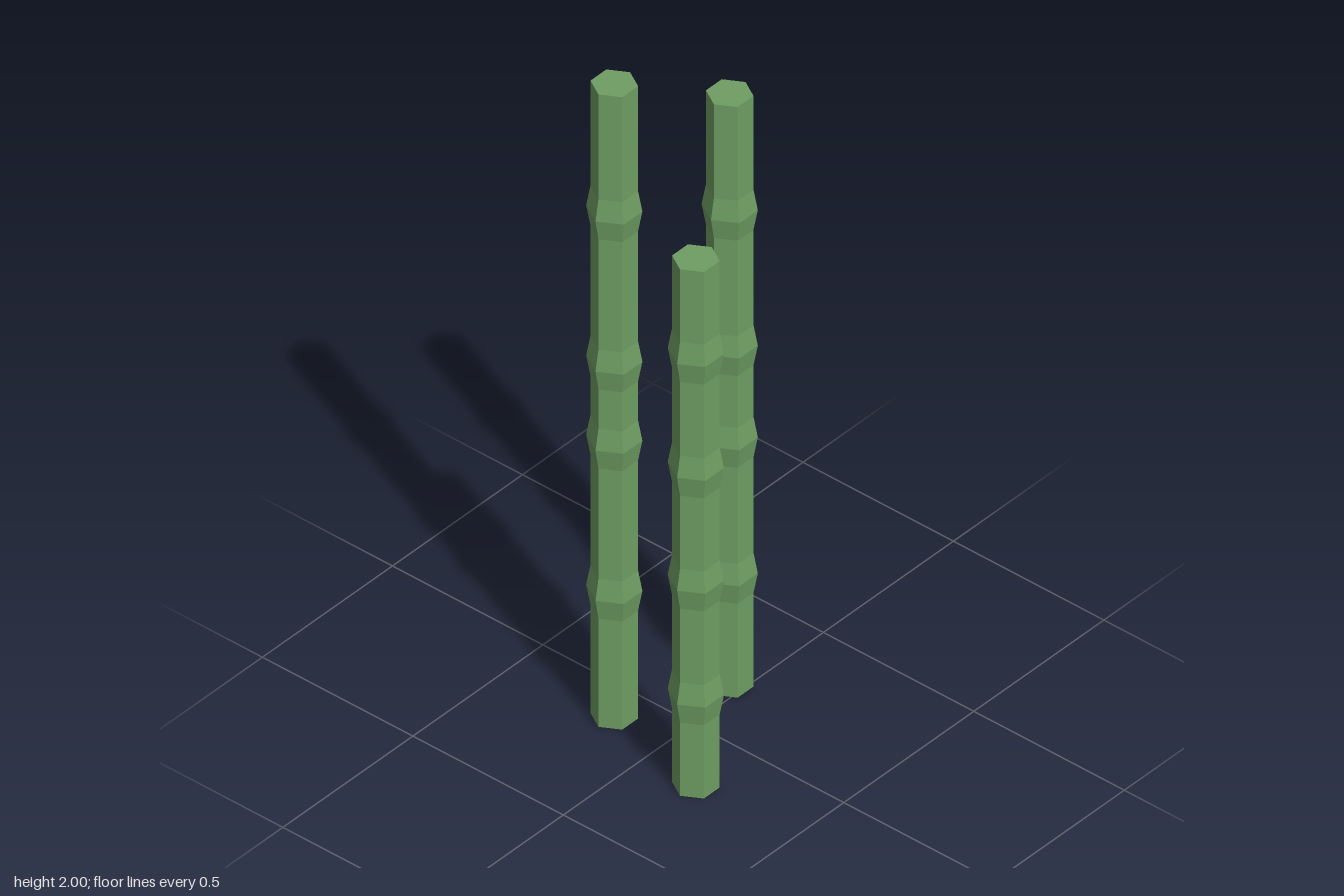
import * as THREE from 'three';

const STALK_RADIUS = 0.061;
const NODE_RADIUS = 0.072;
const NODE_HALF_HEIGHT = 0.063;

// Each stalk: position, total height and the heights of its swollen nodes
const STALKS = [
  { name: 'shortStalk', x: -0.187, z: 0.17, height: 1.665, nodes: [0.295, 0.655, 1.012, 1.372] },
  { name: 'tallStalk', x: -0.105, z: -0.172, height: 2.0, nodes: [0.405, 0.88, 1.13, 1.605] },
  { name: 'middleStalk', x: 0.185, z: -0.039, height: 1.868, nodes: [0.36, 0.79, 1.08, 1.508] },
];

// Closed six-sided stalk whose profile bulges at every node
function stalkGeometry(height, nodes) {
  const profile = [new THREE.Vector2(0, 0), new THREE.Vector2(STALK_RADIUS, 0)];
  for (const y of nodes) {
    profile.push(
      new THREE.Vector2(STALK_RADIUS, y - NODE_HALF_HEIGHT),
      new THREE.Vector2(NODE_RADIUS, y),
      new THREE.Vector2(STALK_RADIUS, y + NODE_HALF_HEIGHT),
    );
  }
  profile.push(new THREE.Vector2(STALK_RADIUS, height), new THREE.Vector2(0, height));
  // Corners of the hexagon point along x
  return new THREE.LatheGeometry(profile, 6, Math.PI / 2);
}

export function createModel() {
  const group = new THREE.Group();
  group.name = 'bambooStalks';

  const green = new THREE.MeshStandardMaterial({ color: 0x6f9e63, flatShading: true });
  green.name = 'bambooGreen';

  for (const { name, x, z, height, nodes } of STALKS) {
    const stalk = new THREE.Mesh(stalkGeometry(height, nodes), green);
    stalk.name = name;
    stalk.position.set(x, 0, z);
    group.add(stalk);
  }
  return group;
}
